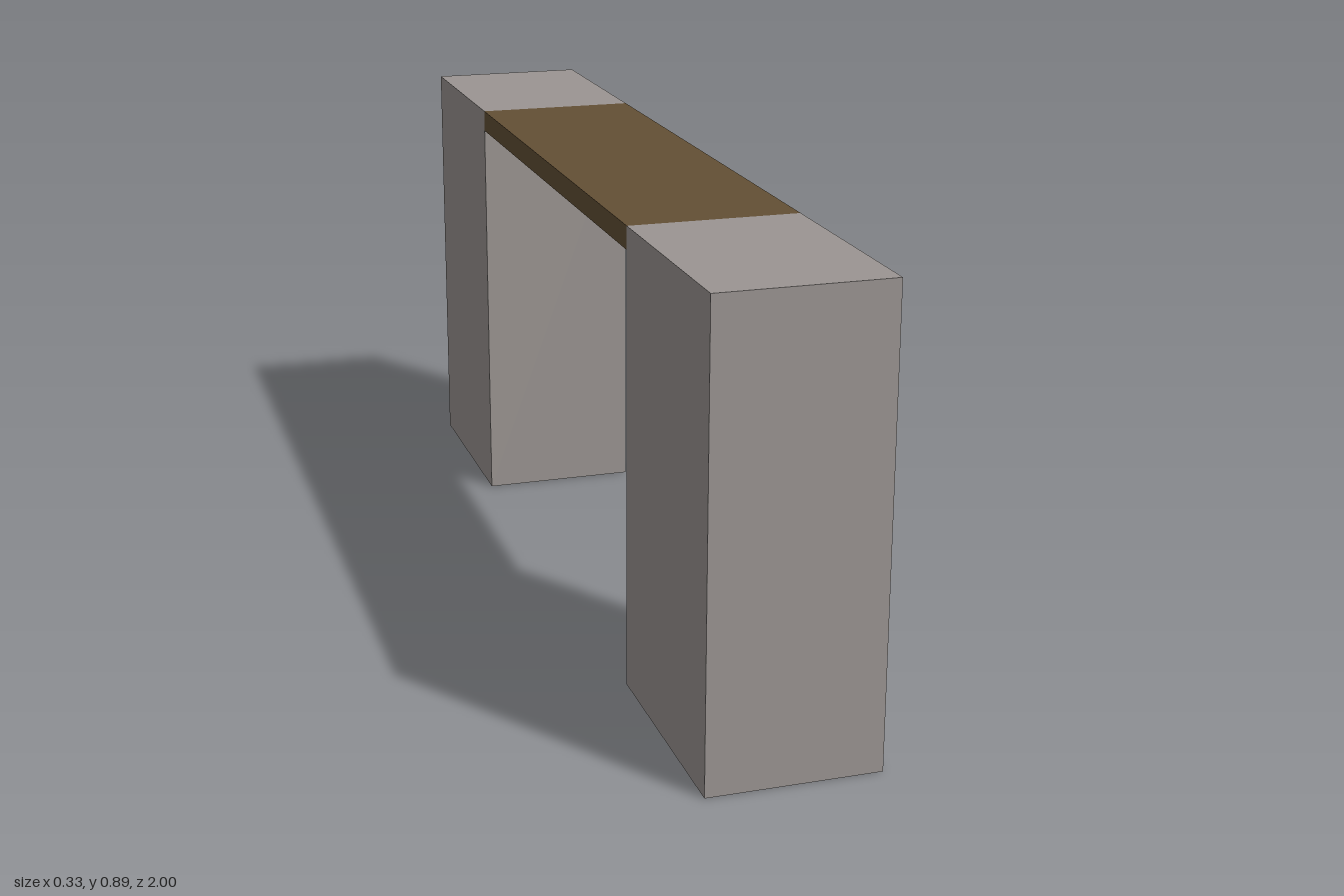
import * as THREE from 'three';

const WIDTH = 0.328, HEIGHT = 0.891;
const PILLAR_DEPTH = 0.455, PLANK_THICKNESS = 0.044;

export function createModel() {
  const group = new THREE.Group();
  group.name = 'bench';

  const stone = new THREE.MeshStandardMaterial({ color: 0x9b9592 });
  stone.name = 'grey stone';
  const wood = new THREE.MeshStandardMaterial({ color: 0x635035 });
  wood.name = 'brown wood';

  const addBox = (name, material, height, depth, y, z) => {
    const mesh = new THREE.Mesh(new THREE.BoxGeometry(WIDTH, height, depth), material);
    mesh.name = name;
    mesh.position.set(0, y, z);
    group.add(mesh);
  };

  // Stone pillars at both ends
  for (const [name, side] of [['frontPillar', 1], ['backPillar', -1]]) {
    addBox(name, stone, HEIGHT, PILLAR_DEPTH, HEIGHT / 2, side * (1 - PILLAR_DEPTH / 2));
  }

  // Plank spanning the gap, flush with the pillar tops
  addBox('seatPlank', wood, PLANK_THICKNESS, 2 - 2 * PILLAR_DEPTH, HEIGHT - PLANK_THICKNESS / 2, 0);

  return group;
}
